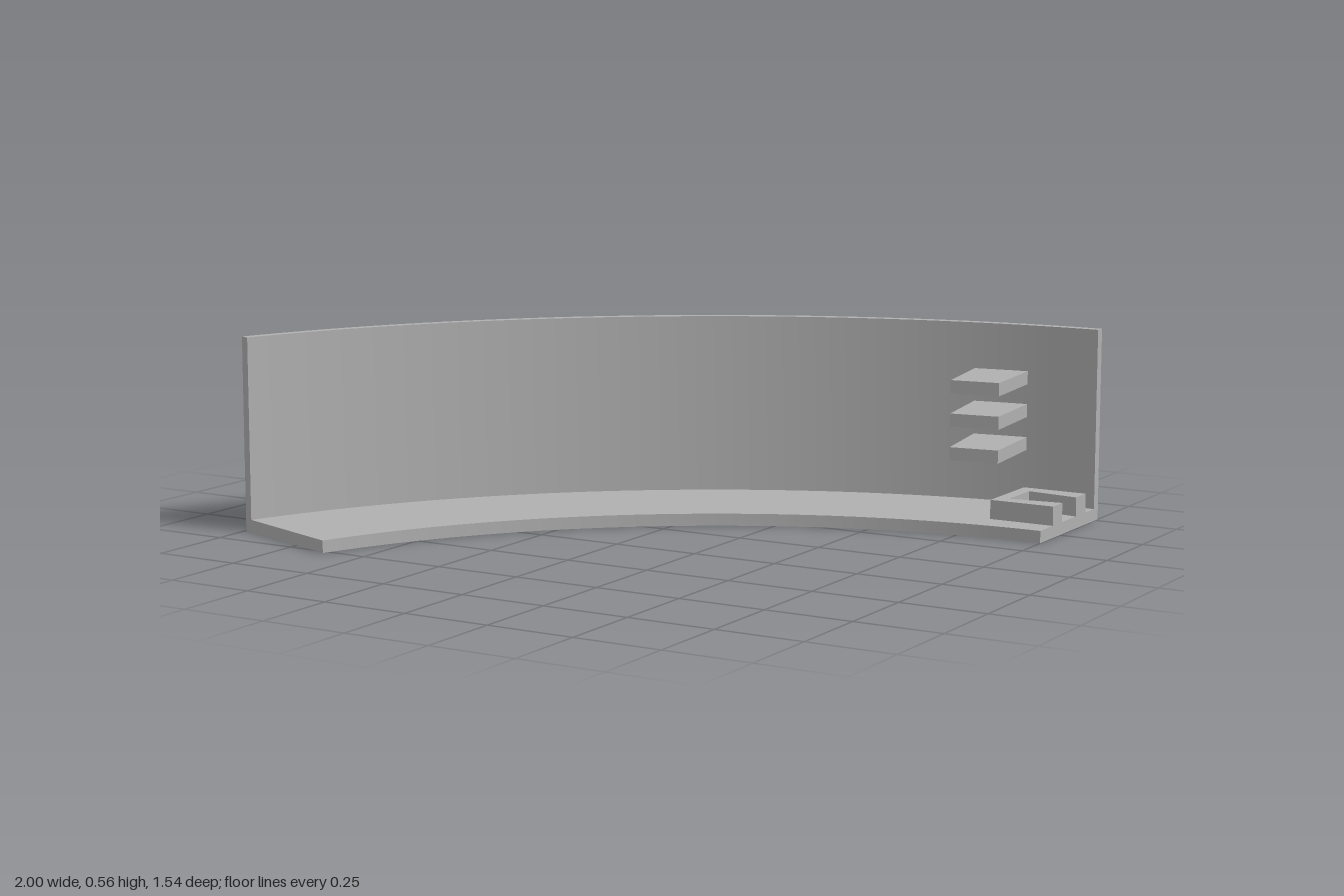
import * as THREE from 'three';
import { toCreasedNormals } from 'three/addons/utils/BufferGeometryUtils.js';

const CX = 1, CZ = 1.36;             // centre of the curve in plan
const OUTER = 2.128, WALL_INNER = 2.1, FLOOR_INNER = 1.728;
const START = Math.PI / 2, END = START + THREE.MathUtils.degToRad(70);
const FLOOR = 0.035, HEIGHT = 0.555;

export function createModel() {
  const group = new THREE.Group();
  const grey = new THREE.MeshStandardMaterial({ color: 0xb0b0b0 });
  grey.name = 'grey';

  // Raise a plan outline (drawn in x, -z) from y0 to y1
  function raise(name, shape, y0, y1) {
    const flat = new THREE.ExtrudeGeometry(shape, { depth: y1 - y0, bevelEnabled: false, curveSegments: 48 });
    flat.rotateX(-Math.PI / 2).translate(0, y0, 0);
    const mesh = new THREE.Mesh(toCreasedNormals(flat, 0.5), grey);
    mesh.name = name;
    group.add(mesh);
  }

  // Curved band between two radii
  function band(inner, outer) {
    const s = new THREE.Shape();
    s.absarc(CX, -CZ, outer, START, END, false);
    s.absarc(CX, -CZ, inner, END, START, true);
    s.closePath();
    return s;
  }

  // Straight-sided plan outline from [x, z] corners
  const outline = (corners) => new THREE.Shape(corners.map(([x, z]) => new THREE.Vector2(x, -z)));

  // Floor and outer wall
  raise('floor', band(FLOOR_INNER, OUTER), 0, FLOOR);
  raise('wall', band(WALL_INNER, OUTER), FLOOR, HEIGHT);

  // Three fins projecting from the inside of the wall
  const fin = outline([[0.673, -0.46], [0.815, -0.479], [0.788, -0.738], [0.629, -0.716]]);
  for (const y of [0.19, 0.287, 0.383]) raise('fin', fin, y, y + 0.038);

  // Raised bracket with a tapered pocket open at the end of the floor
  const bracket = outline([
    [0.807, -0.452], [1, -0.452], [1, -0.515], [0.845, -0.496],
    [0.845, -0.63], [1, -0.611], [1, -0.678], [0.807, -0.678],
  ]);
  raise('bracket', bracket, FLOOR, 0.09);

  return group;
}
